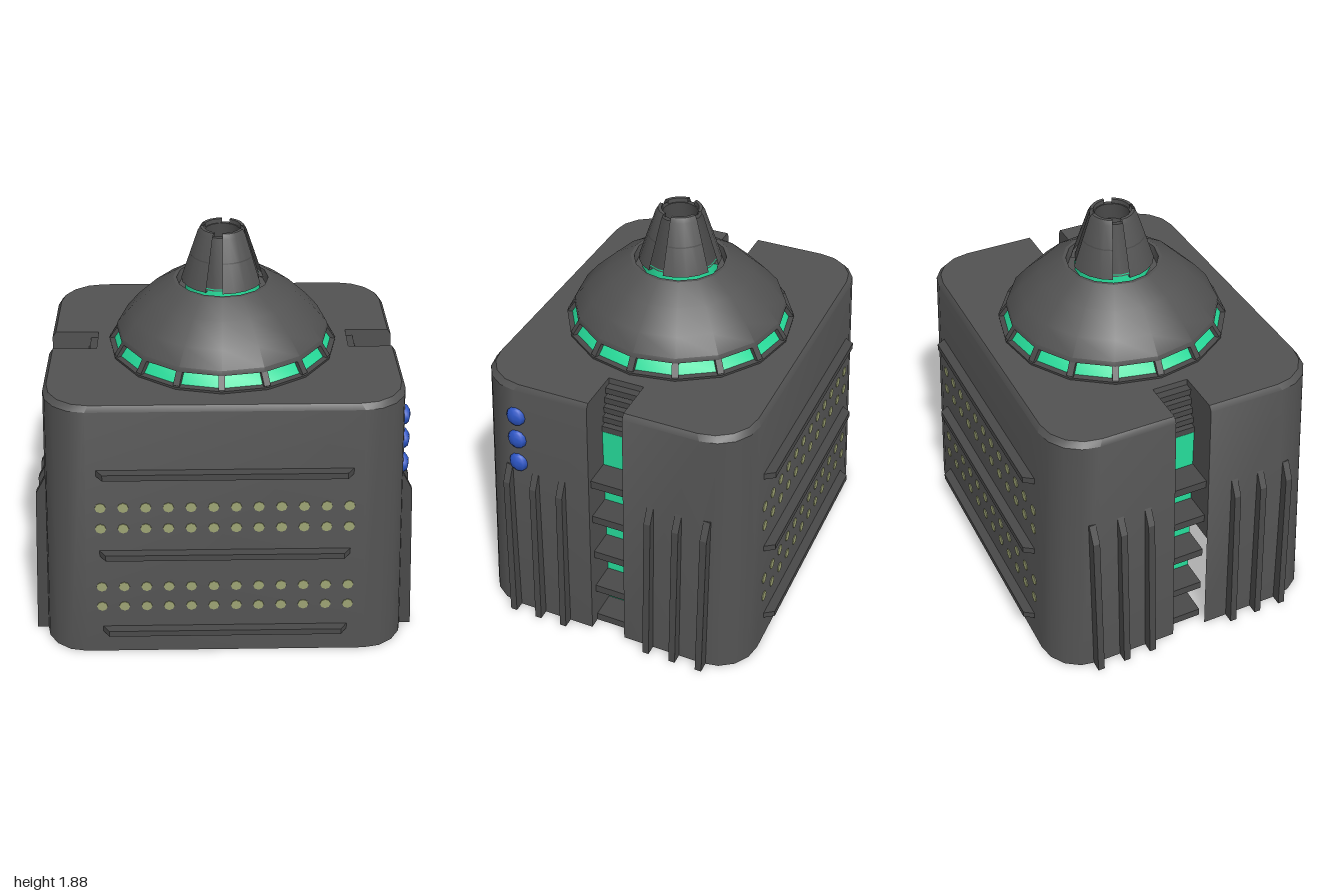
import * as THREE from 'three';
import { toCreasedNormals } from 'three/addons/utils/BufferGeometryUtils.js';

const mat = (name, color) => {
  const m = new THREE.MeshStandardMaterial({ color, side: THREE.DoubleSide });
  m.name = name;
  return m;
};

const SLOT = 0.085, TOP = 1.31;
// Half width, half depth and height of the body's levels
const LEVELS = [[0.86, 0.69, 0], [0.812, 0.643, 1.285], [0.795, 0.626, TOP]];

// Half of a rounded rectangle, open at the slot; s = 1 front, -1 back
function halfOutline(W, H, s) {
  const r = 0.2, pts = [[W, SLOT]];
  for (const side of [1, -1]) {
    for (let i = 0; i <= 4; i++) {
      const a = (side > 0 ? i : 4 - i) * Math.PI / 8;
      pts.push([side * (W - r + r * Math.cos(a)), H - r + r * Math.sin(a)]);
    }
  }
  pts.push([-W, SLOT]);
  return pts.map(([x, z]) => [s * x, s * z]);
}

// Wall surface lofted through the levels
function wallGeometry(s) {
  const pos = [], idx = [];
  const rings = LEVELS.map(([W, H, y]) => halfOutline(W, H, s).map(([x, z]) => [x, y, z]));
  const n = rings[0].length;
  rings.forEach(r => r.forEach(p => pos.push(...p)));
  for (let j = 0; j < rings.length - 1; j++) {
    for (let i = 0; i < n - 1; i++) {
      const a = j * n + i, b = a + 1, c = a + n, d = c + 1;
      idx.push(a, c, b, b, c, d);
    }
  }
  const g = new THREE.BufferGeometry();
  g.setAttribute('position', new THREE.Float32BufferAttribute(pos, 3));
  g.setIndex(idx);
  g.computeVertexNormals();
  return toCreasedNormals(g, 0.6);
}

function lathe(pts, segs, start = 0, length = Math.PI * 2) {
  const g = new THREE.LatheGeometry(pts.map(p => new THREE.Vector2(...p)), segs, start, length);
  return toCreasedNormals(g, 0.5);
}

export function createModel() {
  const grey = mat('grey hull', 0x525252);
  const trim = mat('dark trim', 0x494949);
  const green = mat('green glass', 0x26dc9a);
  const yellow = mat('pale yellow lights', 0x9ca272);
  const blue = mat('blue lamps', 0x2c55c4);
  const model = new THREE.Group();
  model.name = 'building';
  const tower = new THREE.Group();
  tower.name = 'tower';
  tower.rotation.y = 0.24;
  model.add(tower);

  const add = (name, geo, m, x = 0, y = 0, z = 0, parent = tower) => {
    const mesh = new THREE.Mesh(geo, m);
    mesh.name = name;
    mesh.position.set(x, y, z);
    parent.add(mesh);
    return mesh;
  };
  const box = (name, m, w, h, d, x, y, z, parent) =>
    add(name, new THREE.BoxGeometry(w, h, d), m, x, y, z, parent);

  // Hollow body and notched roof
  add('frontWalls', wallGeometry(1), grey);
  add('backWalls', wallGeometry(-1), grey);
  const [W, H] = LEVELS[2], E = 0.58;
  const outline = [...halfOutline(W, H, 1), [-E, SLOT], [-E, -SLOT],
    ...halfOutline(W, H, -1), [E, -SLOT], [E, SLOT]];
  const roof = new THREE.ShapeGeometry(new THREE.Shape(outline.map(([x, z]) => new THREE.Vector2(x, -z))));
  add('roof', roof.rotateX(-Math.PI / 2), grey, 0, TOP);

  // Front and back faces: ledges and rows of lights
  const tilt = -Math.atan2(0.047, 1.285);
  const ledge = new THREE.Shape([[-0.575, 0], [0.575, 0], [0.545, 0.045], [-0.545, 0.045]]
    .map(p => new THREE.Vector2(...p)));
  const ledgeGeo = new THREE.ExtrudeGeometry(ledge, { depth: 0.03, bevelEnabled: false });
  ledgeGeo.rotateX(Math.PI / 2).translate(0, 0.015, 0);
  const lightGeo = new THREE.CylinderGeometry(0.025, 0.025, 0.008, 8).rotateX(Math.PI / 2);
  for (const s of [1, -1]) {
    const face = new THREE.Group();
    face.name = s > 0 ? 'frontFace' : 'backFace';
    face.rotation.y = s > 0 ? 0 : Math.PI;
    tower.add(face);
    const slope = new THREE.Group();
    slope.name = 'slopedPanel';
    slope.position.z = 0.69;
    slope.rotation.x = tilt;
    face.add(slope);
    for (const y of [0.13, 0.555, 0.98]) add('ledge', ledgeGeo, trim, 0, y, 0, slope);
    for (const y of [0.26, 0.37, 0.69, 0.8]) {
      for (let i = 0; i < 12; i++) {
        add('light', lightGeo, yellow, (i - 5.5) * (0.1055 - 0.004 * y), y, 0, slope);
      }
    }
  }

  // Sides: fins, glazed slot, shelves and louvres
  const finShape = new THREE.Shape([[0.84, 0], [0.91, 0], [0.868, 0.78], [0.826, 0.86], [0.815, 0.86]]
    .map(p => new THREE.Vector2(...p)));
  const finGeo = new THREE.ExtrudeGeometry(finShape, { depth: 0.032, bevelEnabled: false }).translate(0, 0, -0.016);
  const slotWall = base => {
    const x0 = 0.86 - 0.037 * base;
    const s = new THREE.Shape([[0.58, base], [x0, base], [0.812, 1.285], [0.795, TOP], [0.58, TOP]]
      .map(p => new THREE.Vector2(...p)));
    return new THREE.ShapeGeometry(s);
  };
  for (const s of [1, -1]) {
    const side = new THREE.Group();
    side.name = s > 0 ? 'leftSide' : 'rightSide';
    side.rotation.y = s > 0 ? 0 : Math.PI;
    tower.add(side);
    for (const z of [0.22, 0.355, 0.49]) {
      for (const k of [1, -1]) add('fin', finGeo, trim, 0, 0, k * z, side);
    }
    for (const k of [1, -1]) add('slotWall', slotWall(s > 0 ? 0 : 0.55), grey, 0, 0, k * SLOT, side);
    box('slotGlass', green, 0.008, 1.06, 0.168, 0.672, 0.54, 0, side);
    for (const y of [0.02, 0.21, 0.43, 0.65, 0.86]) {
      box('shelf', trim, 0.14, 0.04, 0.17, 0.735, y, 0, side);
    }
    box('slotBack', grey, 0.01, 0.24, 0.17, 0.585, 1.19, 0, side);
    for (let i = 0; i < 5; i++) {
      box('louvre', trim, 0.09 - i * 0.012, 0.03, 0.17, 0.63 - i * 0.006, 1.085 + i * 0.045, 0, side);
    }
  }

  // Blue lamps on one side
  for (const y of [0.89, 1.02, 1.145]) {
    const lamp = add('lamp', new THREE.SphereGeometry(0.048, 8, 6), blue, 0.858 - 0.037 * y, y, 0.44);
    lamp.scale.x = 0.6;
  }

  // Dome with a glazed band and posts
  const dome = new THREE.Group();
  dome.name = 'dome';
  dome.rotation.y = 0.02;
  model.add(dome);
  const N = 16, half = Math.PI / N;
  add('collar', lathe([[0.53, 1.29], [0.535, 1.322], [0.5, 1.328]], N, half), trim, 0, 0, 0, dome);
  add('windowBand', lathe([[0.512, 1.325], [0.475, 1.378]], N, half), green, 0, 0, 0, dome);
  add('domeShell', lathe([[0.465, 1.372], [0.497, 1.38], [0.492, 1.402], [0.43, 1.475], [0.335, 1.565],
    [0.228, 1.632], [0.212, 1.632], [0.205, 1.59], [0, 1.59]], N, half), grey, 0, 0, 0, dome);
  for (let i = 0; i < N; i++) {
    const post = new THREE.Group();
    post.name = 'windowPost';
    post.rotation.y = half + i * 2 * half;
    dome.add(post);
    box('post', trim, 0.03, 0.075, 0.022, 0, 1.352, 0.5, post).rotation.x = -0.6;
  }

  // Spire: glowing foot, core and four raised panels
  add('spireGlow', new THREE.CylinderGeometry(0.17, 0.175, 0.06, 16, 1, true), green, 0, 1.615, 0, dome);
  add('spireCore', lathe([[0.16, 1.635], [0.172, 1.635], [0.102, 1.865], [0.08, 1.865],
    [0.08, 1.79], [0, 1.79]], 16), trim, 0, 0, 0, dome);
  for (let i = 0; i < 4; i++) {
    const start = i * Math.PI / 2 + Math.PI / 4 - 0.58;
    add('spirePanel', lathe([[0.165, 1.632], [0.19, 1.632], [0.112, 1.865], [0.1, 1.885], [0.085, 1.885],
      [0.085, 1.84]], 4, start, 1.16), grey, 0, 0, 0, dome);
    add('spireSeam', lathe([[0.149, 1.757], [0.147, 1.763]], 4, start, 1.16), trim, 0, 0, 0, dome);
  }
  return model;
}
